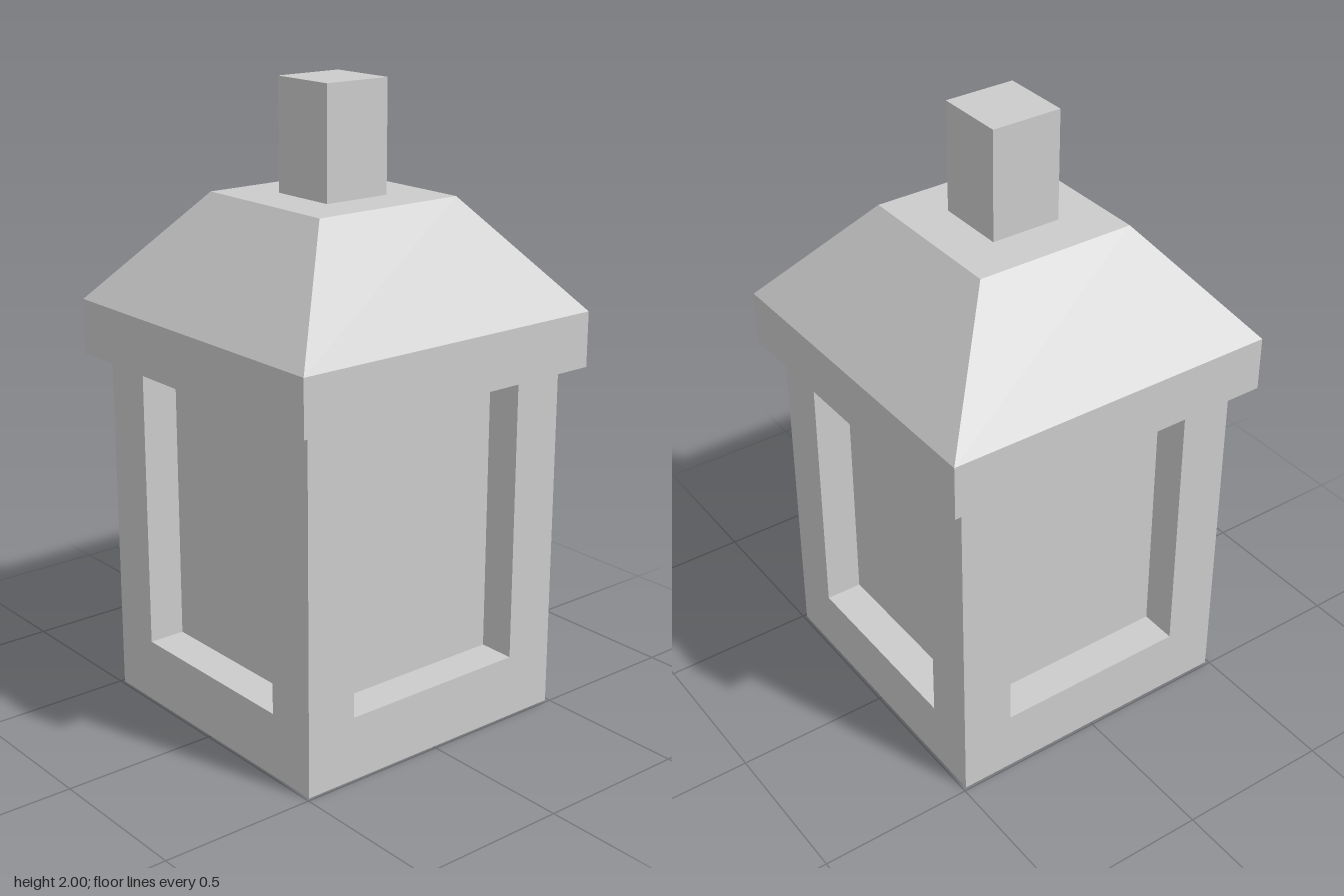
import * as THREE from 'three';

const material = new THREE.MeshStandardMaterial({ color: 0xcccccc, flatShading: true, side: THREE.DoubleSide });

// Square block from y0 to y1; top half-width may differ; bottom face can be left open.
function block(name, half, y0, y1, { topHalf = half, openBottom = false, x = 0, z = 0 } = {}) {
  const geometry = new THREE.BoxGeometry(half * 2, y1 - y0, half * 2);
  const pos = geometry.attributes.position;
  for (let i = 0; i < pos.count; i++) {
    if (pos.getY(i) > 0) {
      pos.setX(i, Math.sign(pos.getX(i)) * topHalf);
      pos.setZ(i, Math.sign(pos.getZ(i)) * topHalf);
    }
  }
  if (openBottom) {
    // Indices 18 to 23 are the downward face.
    const index = Array.from(geometry.index.array);
    index.splice(18, 6);
    geometry.setIndex(index);
    geometry.clearGroups();
  }
  geometry.computeVertexNormals();
  const mesh = new THREE.Mesh(geometry, material);
  mesh.name = name;
  mesh.position.set(x, (y0 + y1) / 2, z);
  return mesh;
}

export function createModel() {
  const model = new THREE.Group();
  model.name = 'lantern';

  const baseTop = 0.205, eave = 1.13, roofEdge = 1.305, roofTop = 1.65;
  const bodyHalf = 0.49, postHalf = 0.085;

  // Hollow base, open underneath
  model.add(block('base', bodyHalf, 0, baseTop, { openBottom: true }));

  // Recessed core forming the four panes, stopping short of the roof
  model.add(block('panes', 0.37, baseTop, 1.075, { openBottom: true }));

  // Corner posts
  const posts = new THREE.Group();
  posts.name = 'cornerPosts';
  const offset = bodyHalf - postHalf;
  for (const sx of [-1, 1]) {
    for (const sz of [-1, 1]) {
      posts.add(block('cornerPost', postHalf, baseTop, eave, { openBottom: true, x: sx * offset, z: sz * offset }));
    }
  }
  model.add(posts);

  // Roof: square rim, sloped cap and finial
  model.add(block('roofRim', 0.55, eave, roofEdge));
  model.add(block('roofSlope', 0.55, roofEdge, roofTop, { topHalf: 0.262, openBottom: true }));
  model.add(block('finial', 0.115, roofTop, 2, { openBottom: true }));

  return model;
}
